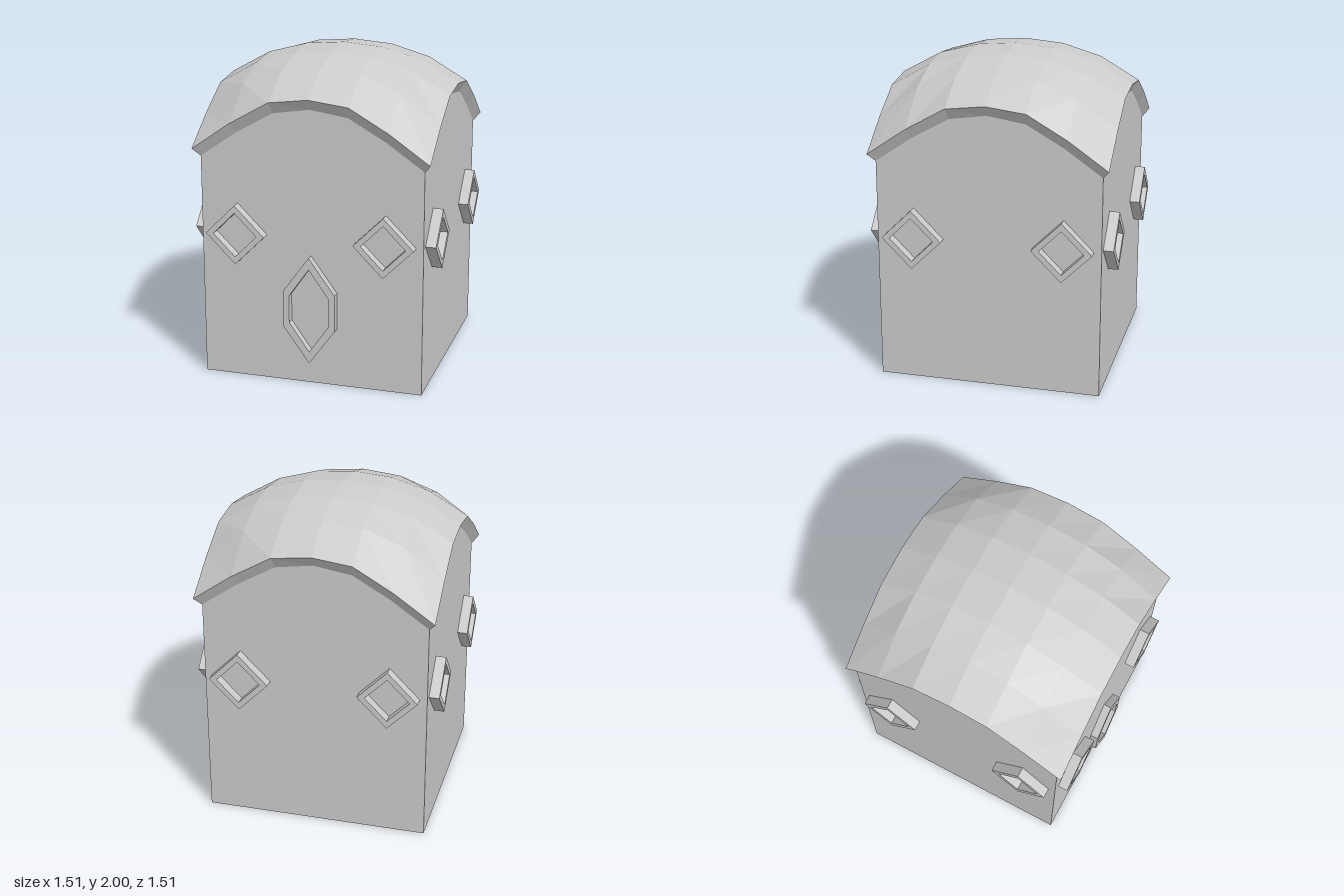
import * as THREE from 'three';

const WALL = 0.692;   // half width of the walls
const EAVE = 0.733;   // half width of the roof
const material = new THREE.MeshStandardMaterial({ color: 0xcccccc, flatShading: true });

// Roof heights for one quadrant, by grid steps from the centre
const HEIGHT = [
  [2.0, 1.98, 1.915, 1.78],
  [1.98, 1.96, 1.89, 1.75],
  [1.915, 1.89, 1.80, 1.61],
  [1.78, 1.75, 1.61, 1.44],
];
// Height where the eave meets the wall, by steps from the middle of a side
const RIM = [1.715, 1.68, 1.55, 1.39];

// Surface from a grid of points; point(i, j) with i across and j down
function gridSurface(cols, rows, point) {
  const positions = [];
  for (let j = 0; j < rows; j++) {
    for (let i = 0; i < cols; i++) {
      const a = point(i, j), b = point(i + 1, j), c = point(i + 1, j + 1), d = point(i, j + 1);
      positions.push(...a, ...d, ...c, ...a, ...c, ...b);
    }
  }
  const geometry = new THREE.BufferGeometry();
  geometry.setAttribute('position', new THREE.Float32BufferAttribute(positions, 3));
  geometry.computeVertexNormals();
  return geometry;
}

function addMesh(parent, name, geometry) {
  const mesh = new THREE.Mesh(geometry, material);
  mesh.name = name;
  parent.add(mesh);
  return mesh;
}

// Raised frame standing on the front wall, cut through to the wall
function frameGeometry(outer, inner, depth) {
  const shape = new THREE.Shape(outer.map(([x, y]) => new THREE.Vector2(x, y)));
  shape.holes.push(new THREE.Path(inner.map(([x, y]) => new THREE.Vector2(x, y))));
  return new THREE.ExtrudeGeometry(shape, { depth, bevelEnabled: false });
}

const diamond = (r) => [[r, 0], [0, r], [-r, 0], [0, -r]];
const hexagon = (w, flat, tall) => [[w, -flat], [w, flat], [0, tall], [-w, flat], [-w, -flat], [0, -tall]];

export function createModel() {
  const model = new THREE.Group();

  // Domed roof
  addMesh(model, 'roof', gridSurface(6, 6, (i, j) => [
    (i - 3) / 3 * EAVE, HEIGHT[Math.abs(i - 3)][Math.abs(j - 3)], (j - 3) / 3 * EAVE,
  ]));

  const windowGeometry = frameGeometry(diamond(0.185), diamond(0.137), 0.063);
  const eaveGeometry = gridSurface(6, 1, (i, j) => {
    const half = j ? WALL : EAVE, k = Math.abs(i - 3);
    return [(i - 3) / 3 * half, j ? RIM[k] : HEIGHT[k][3], half];
  });
  const wallGeometry = gridSurface(6, 1, (i, j) => [
    (i - 3) / 3 * WALL, j ? 0 : RIM[Math.abs(i - 3)], WALL,
  ]);

  // Four equal sides: wall, eave and a pair of diamond windows
  ['front', 'left', 'back', 'right'].forEach((name, n) => {
    const side = new THREE.Group();
    side.name = name + 'Side';
    side.rotation.y = n * Math.PI / 2;
    addMesh(side, 'wall', wallGeometry);
    addMesh(side, 'eave', eaveGeometry);
    for (const s of [-1, 1]) {
      addMesh(side, 'windowFrame', windowGeometry).position.set(s * 0.462, 0.927, WALL);
    }
    model.add(side);
  });

  // Pointed door frame on the front
  const door = frameGeometry(hexagon(0.162, 0.115, 0.338), hexagon(0.125, 0.086, 0.264), 0.05);
  addMesh(model, 'doorFrame', door).position.set(0, 0.483, WALL);

  // Underside
  const floor = new THREE.PlaneGeometry(2 * WALL, 2 * WALL);
  floor.rotateX(Math.PI / 2);
  addMesh(model, 'floor', floor);

  return model;
}
